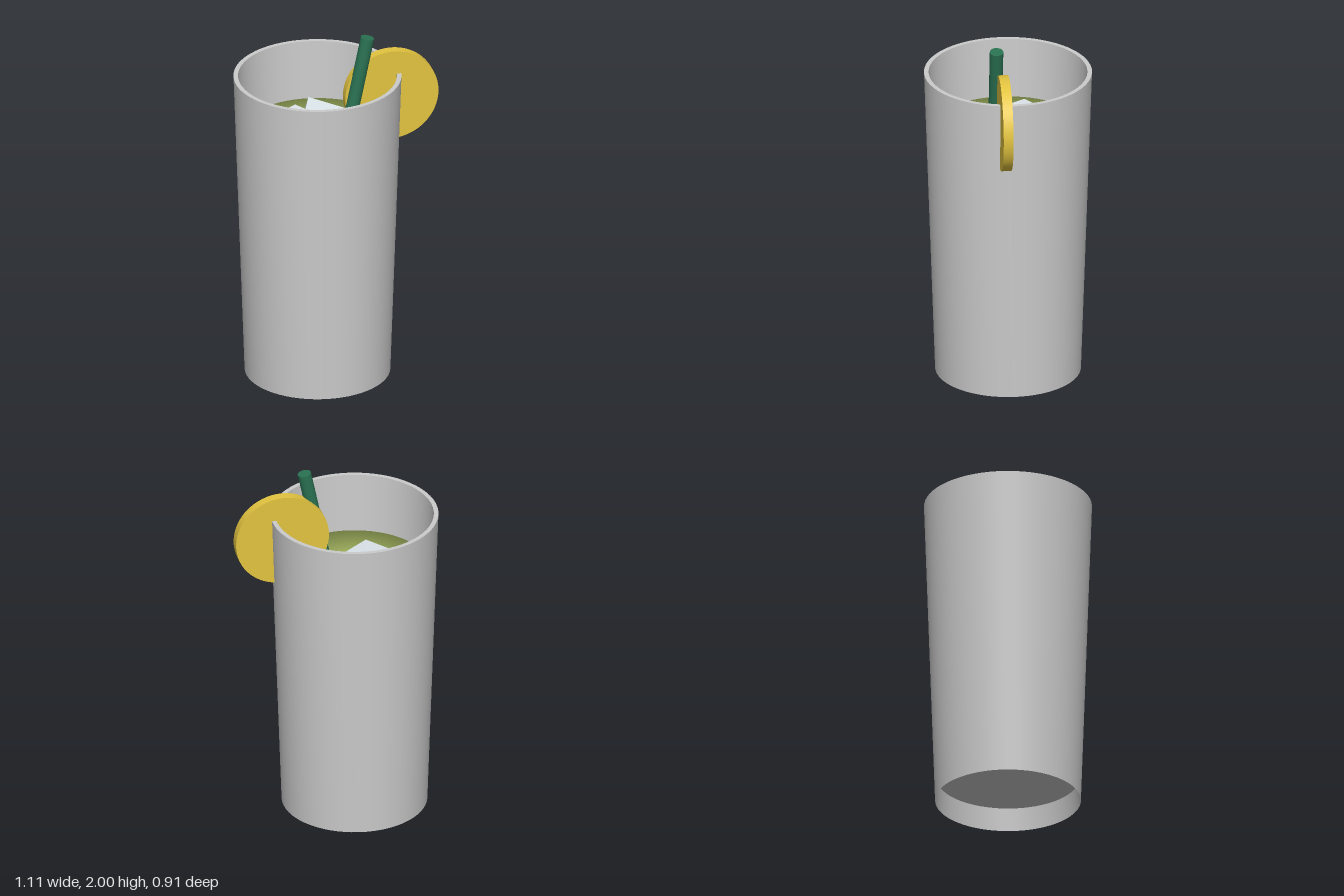
import * as THREE from 'three';
import { toCreasedNormals } from 'three/addons/utils/BufferGeometryUtils.js';

const CX = -0.1; // axis of the glass

function material(color) {
  return new THREE.MeshStandardMaterial({ color });
}

function lathe(points, segments = 64) {
  return new THREE.LatheGeometry(points.map(([r, y]) => new THREE.Vector2(r, y)), segments);
}

export function createModel() {
  const group = new THREE.Group();

  function add(name, geometry, color, x, y, z) {
    const mesh = new THREE.Mesh(geometry, material(color));
    mesh.name = name;
    mesh.position.set(x, y, z);
    group.add(mesh);
    return mesh;
  }

  // Tapered tumbler: recessed underside, outer wall, rim, inner wall, inner floor
  const wall = lathe([
    [0, 0.13], [0.385, 0.13], [0.395, 0], [0.455, 1.755],
    [0.43, 1.755], [0.375, 0.16], [0, 0.16],
  ]);
  const glass = add('glass', toCreasedNormals(wall, 0.6), 0xcccccc, CX, 0, 0);
  glass.material.side = THREE.DoubleSide;

  // Drink, softly shaded across its surface
  add('drink', lathe([[0, 0.165], [0.37, 0.165], [0.415, 1.42], [0, 1.42]]), 0xc3d873, CX, 0, 0);

  // Floating ice cubes: position, then tilt and turn
  const cubes = [
    [-0.2, 1.35, -0.08, 0.02, 0.56, 0.03],
    [-0.04, 1.33, -0.16, 0.1, -0.37, -0.28],
    [-0.21, 1.325, 0.08, 0.12, -0.8, 0.08],
  ];
  for (const [x, y, z, rx, ry, rz] of cubes) {
    const cube = add('iceCube', new THREE.BoxGeometry(0.24, 0.24, 0.24), 0xdde6ec, x, y, z);
    cube.rotation.set(rx, ry, rz, 'YXZ');
  }

  // Leaning straw
  const foot = new THREE.Vector3(-0.2, 0.25, 0.085);
  const tip = new THREE.Vector3(0.158, 1.992, 0.085);
  const axis = tip.clone().sub(foot);
  const middle = foot.clone().add(tip).multiplyScalar(0.5);
  const straw = add('straw', new THREE.CylinderGeometry(0.037, 0.037, axis.length(), 24),
    0x2a7152, middle.x, middle.y, middle.z);
  straw.quaternion.setFromUnitVectors(new THREE.Vector3(0, 1, 0), axis.normalize());

  // Citrus slice set over the rim
  const slice = add('citrusSlice', new THREE.CylinderGeometry(0.26, 0.26, 0.054, 64),
    0xe3c440, 0.295, 1.63, 0.054);
  slice.rotation.x = Math.PI / 2;

  return group;
}
